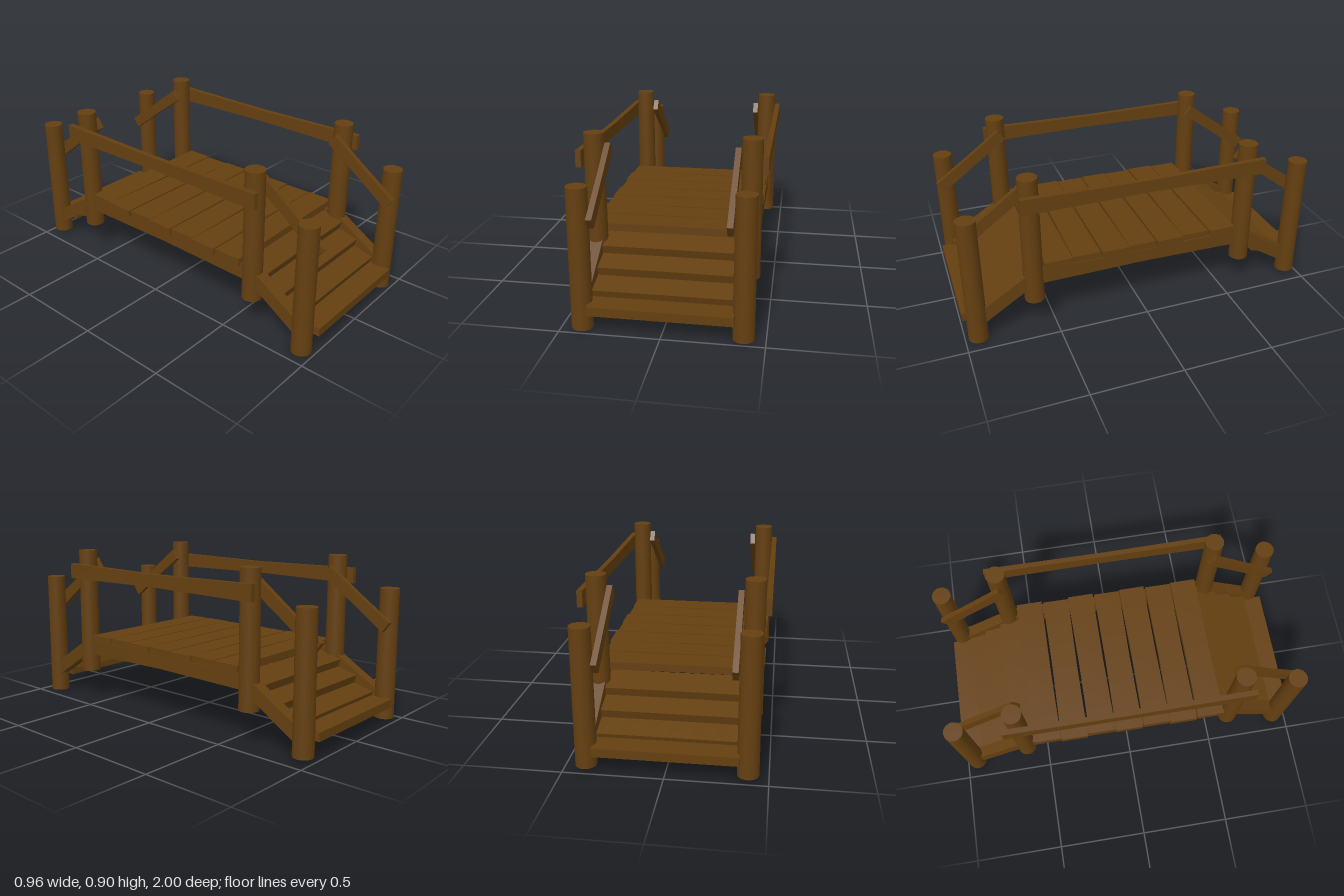
import * as THREE from 'three';

const wood = new THREE.MeshStandardMaterial({ color: 0x643f10 });
wood.name = 'brown wood';

// Hewn board: long axis z, cross-section scaled from `mid` at the centre to 1 at the ends
function board(name, w, h, length, mid = 1) {
  const g = new THREE.BoxGeometry(w, h, length, 1, 1, 6);
  const p = g.attributes.position;
  for (let i = 0; i < p.count; i++) {
    const u = Math.abs(p.getZ(i)) / (length / 2);
    p.setY(i, p.getY(i) * (mid + (1 - mid) * u));
  }
  g.computeVertexNormals();
  const m = new THREE.Mesh(g, wood);
  m.name = name;
  return m;
}

// Board running between two points (z, y) at a given x
function slopedBoard(name, x, [z0, y0], [z1, y1], w, h, mid) {
  const m = board(name, w, h, Math.hypot(z1 - z0, y1 - y0), mid);
  m.position.set(x, (y0 + y1) / 2, (z0 + z1) / 2);
  m.rotation.x = -Math.atan2(y1 - y0, z1 - z0);
  return m;
}

function post(name, x, z, bottom, top) {
  const m = new THREE.Mesh(new THREE.CylinderGeometry(0.052, 0.054, top - bottom, 24), wood);
  m.name = name;
  m.position.set(x, (bottom + top) / 2, z);
  return m;
}

// Plank lying across the bridge
function crossPlank(name, length, thickness, width, mid) {
  const m = board(name, thickness, width, length, mid);
  m.geometry.rotateZ(Math.PI / 2).rotateY(Math.PI / 2);
  // after the turns: length on x, thickness on y, width on z
  m.geometry.computeBoundingBox();
  return m;
}

// One end of the bridge: posts, stringers, sloping rails and steps, facing +z
function buildEnd(name, o) {
  const end = new THREE.Group();
  end.name = name;
  for (const s of [-1, 1]) {
    end.add(post('outerPost', s * 0.396, o.outerZ, o.outerBottom, o.outerTop));
    end.add(post('innerPost', s * 0.396, 0.61, 0.18, o.innerTop));
    end.add(slopedBoard('slopedStringer', s * 0.392, [0.57, 0.35 - o.drop], [0.91, 0.135 - o.drop / 2], 0.064, 0.078, 0.95));
    end.add(slopedBoard('slopedRail', s * 0.327, [0.59, 0.825 - o.drop], [0.965, 0.55 - o.drop], 0.029, 0.068, 0.92));
  }
  // flat bottom step
  const first = crossPlank('bottomStep', 0.71, 0.046, 0.15);
  first.position.set(0, 0.117, 0.925);
  end.add(first);
  // overlapping tilted steps
  for (let i = 0; i < 3; i++) {
    const step = crossPlank('step', 0.71, 0.047, 0.155, 0.98);
    step.position.set(0, 0.172 + i * 0.0745 - o.drop, 0.806 - i * 0.106);
    step.rotation.x = 0.26;
    end.add(step);
  }
  return end;
}

export function createModel() {
  const bridge = new THREE.Group();
  bridge.name = 'woodenFootbridge';

  const frame = new THREE.Group();
  frame.name = 'frame';
  frame.position.x = -0.004;
  bridge.add(frame);

  frame.add(buildEnd('frontEnd', { outerZ: 0.928, outerBottom: 0, outerTop: 0.722, innerTop: 0.903, drop: 0 }));
  const back = buildEnd('backEnd', { outerZ: 0.938, outerBottom: 0.02, outerTop: 0.738, innerTop: 0.895, drop: 0.014 });
  back.rotation.y = Math.PI;
  frame.add(back);

  // main beams under the deck
  for (const s of [-1, 1]) {
    const beam = board('mainBeam', 0.064, 0.088, 1.2, 0.8);
    beam.position.set(s * 0.392, 0.326, 0);
    frame.add(beam);
  }

  // long handrails outside the posts
  for (const s of [-1, 1]) {
    const rail = board('handrail', 0.029, 0.087, 1.35, 0.78);
    rail.position.set(s * 0.464, s > 0 ? 0.782 : 0.777, -0.005);
    frame.add(rail);
  }

  // deck planks with narrow gaps
  const deck = new THREE.Group();
  deck.name = 'deck';
  deck.position.set(-0.015, 0.381, 0);
  const shift = [0.004, -0.005, 0.006, -0.002, 0.005, -0.004, 0.002];
  shift.forEach((d, i) => {
    const plank = crossPlank('deckPlank', 0.866, 0.041, 0.153, 0.95);
    plank.position.set(d, 0, (i - 3) * 0.1585);
    plank.rotation.y = d;
    deck.add(plank);
  });
  bridge.add(deck);
  return bridge;
}
